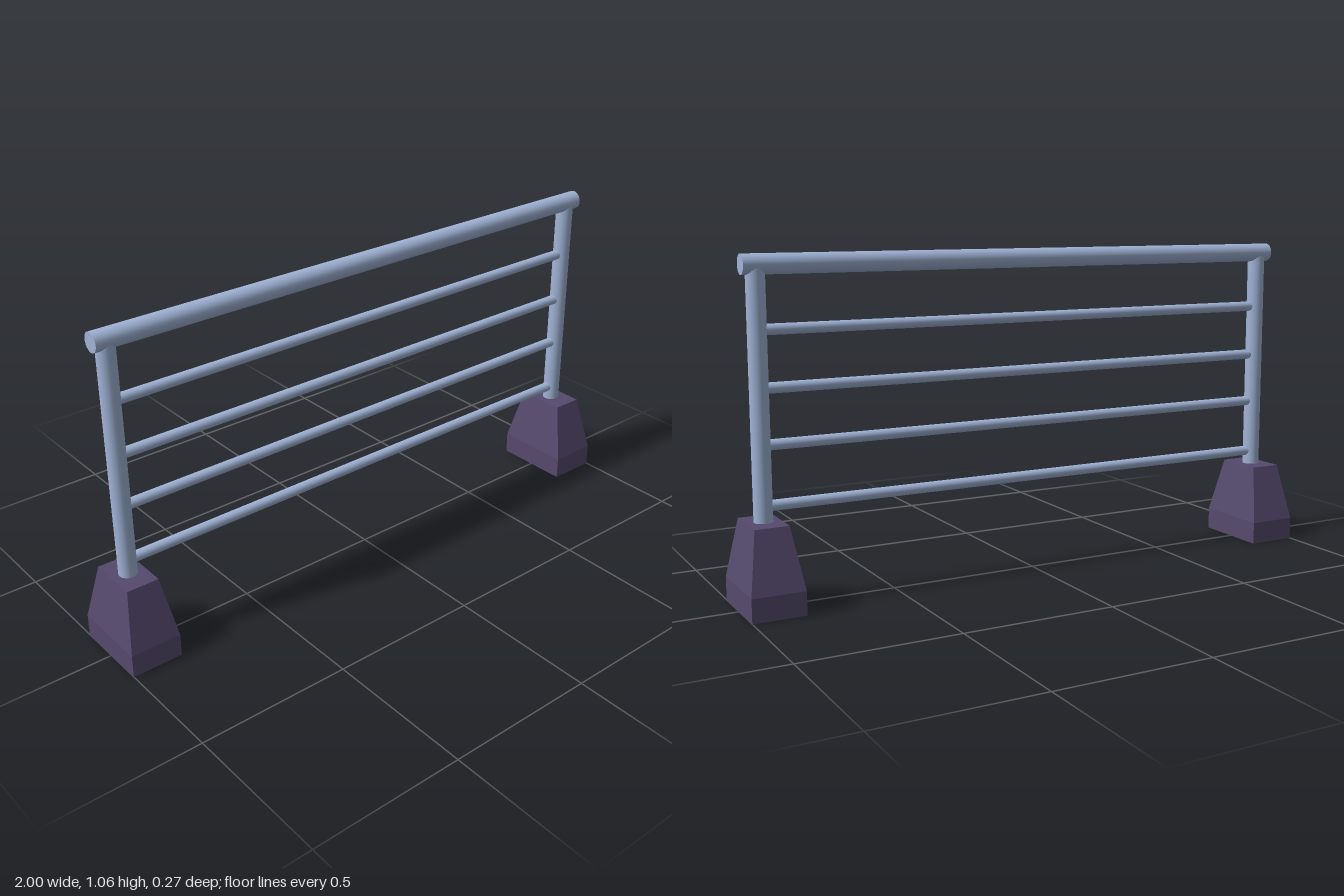
import * as THREE from 'three';

const steel = new THREE.MeshStandardMaterial({ color: 0xa0b3d6 });
steel.name = 'blue grey steel';
const plum = new THREE.MeshStandardMaterial({ color: 0x564a6e });
plum.name = 'dark plum';

const POST_X = 0.917;

function tube(name, radius, length, segments = 24) {
  const mesh = new THREE.Mesh(new THREE.CylinderGeometry(radius, radius, length, segments), steel);
  mesh.name = name;
  return mesh;
}

// Foot block: straight plinth below, tapering to a smaller flat top
function footGeometry() {
  const box = new THREE.BoxGeometry(0.167, 2, 0.266, 1, 2, 1);
  const pos = box.attributes.position;
  for (let i = 0; i < pos.count; i++) {
    const level = Math.round(pos.getY(i)) + 1;
    pos.setY(i, [0, 0.075, 0.266][level]);
    if (level === 2) {
      pos.setX(i, Math.sign(pos.getX(i)) * 0.053);
      pos.setZ(i, Math.sign(pos.getZ(i)) * 0.085);
    }
  }
  const flat = box.toNonIndexed();
  flat.computeVertexNormals();
  return flat;
}

export function createModel() {
  const model = new THREE.Group();
  model.name = 'railing';

  // Feet and upright posts
  const footGeo = footGeometry();
  for (const [side, s] of [['left', 1], ['right', -1]]) {
    const foot = new THREE.Mesh(footGeo, plum);
    foot.name = side + 'Foot';
    foot.position.x = s * POST_X;
    const post = tube(side + 'Post', 0.029, 0.77);
    post.position.set(s * POST_X, 0.635, 0);
    model.add(foot, post);
  }

  // Top handrail
  const rail = tube('handrail', 0.031, 1.92);
  rail.rotation.z = Math.PI / 2;
  rail.position.y = 1.031;
  model.add(rail);

  // Thin horizontal bars
  [0.313, 0.497, 0.667, 0.84].forEach((y, i) => {
    const bar = tube('bar' + (i + 1), 0.017, 1.79, 16);
    bar.rotation.z = Math.PI / 2;
    bar.position.y = y;
    model.add(bar);
  });

  return model;
}
